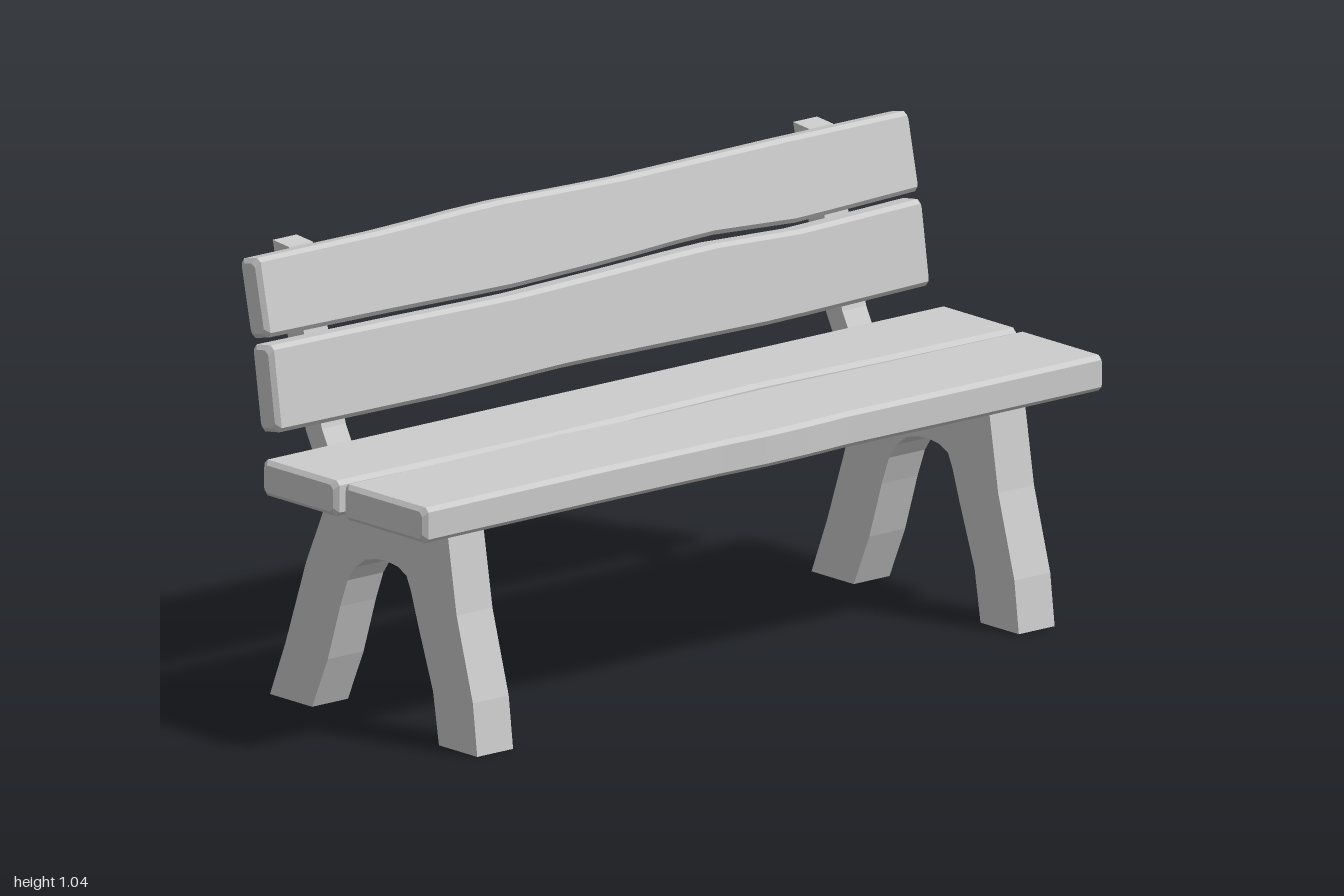
import * as THREE from 'three';

const wood = new THREE.MeshStandardMaterial({ color: 0xcccccc });
wood.name = 'pale grey';

function addMesh(parent, name, geometry) {
  const mesh = new THREE.Mesh(geometry, wood);
  mesh.name = name;
  parent.add(mesh);
  return mesh;
}

// Linear interpolation through [x, value] pairs
function sample(points, x) {
  for (let i = 1; i < points.length; i++) {
    const [x0, a] = points[i - 1], [x1, b] = points[i];
    if (x <= x1) return a + (b - a) * Math.max(0, (x - x0) / (x1 - x0));
  }
  return points[points.length - 1][1];
}

// Chamfered plank along x: y is its width (wavy low and high edges), z its thickness
function plankGeometry(x0, x1, low, high, thickness) {
  const c = 0.01, h = thickness / 2, steps = 16;
  const stations = [[x0, c]];
  for (let i = 0; i <= steps; i++) stations.push([x0 + c + (x1 - x0 - 2 * c) * i / steps, 0]);
  stations.push([x1, c]);
  const rings = stations.map(([x, inset]) => {
    const a = sample(low, x) + inset, b = sample(high, x) - inset, t = h - inset;
    return [[a + c, -t], [b - c, -t], [b, -t + c], [b, t - c],
      [b - c, t], [a + c, t], [a, t - c], [a, -t + c]].map(([y, z]) => [x, y, z]);
  });
  const pos = [];
  const tri = (...pts) => pts.forEach(p => pos.push(...p));
  for (let i = 0; i + 1 < rings.length; i++) {
    for (let j = 0; j < 8; j++) {
      const k = (j + 1) % 8, r = rings[i], s = rings[i + 1];
      tri(r[j], r[k], s[k]);
      tri(r[j], s[k], s[j]);
    }
  }
  const first = rings[0], last = rings[rings.length - 1];
  for (let j = 1; j < 7; j++) {
    tri(first[0], first[j + 1], first[j]);
    tri(last[0], last[j], last[j + 1]);
  }
  const g = new THREE.BufferGeometry();
  g.setAttribute('position', new THREE.Float32BufferAttribute(pos, 3));
  g.computeVertexNormals();
  return g;
}

// Extrudes a [z, y] outline along x, centred on x = 0
function sideProfile(points, width) {
  const shape = new THREE.Shape(points.map(([z, y]) => new THREE.Vector2(-z, y)));
  const g = new THREE.ExtrudeGeometry(shape, { depth: width, bevelEnabled: false });
  g.translate(0, 0, -width / 2);
  g.rotateY(Math.PI / 2);
  return g;
}

export function createModel() {
  const bench = new THREE.Group();
  bench.name = 'bench';

  // Seat planks, laid flat: local y points to the back
  const seatFront = addMesh(bench, 'seatFrontPlank', plankGeometry(-1, 0.993,
    [[-1, -0.372], [-0.5, -0.368], [-0.15, -0.37], [0.05, -0.378], [0.25, -0.366], [0.6, -0.37], [1, -0.37]],
    [[-1, -0.092], [-0.55, -0.088], [-0.38, -0.078], [-0.15, -0.092], [0.25, -0.082], [0.6, -0.09], [1, -0.092]], 0.082));
  const seatBack = addMesh(bench, 'seatBackPlank', plankGeometry(-1, 1,
    [[-1, -0.07], [-0.55, -0.074], [-0.35, -0.078], [-0.1, -0.068], [0.27, -0.054], [0.6, -0.066], [1, -0.072]],
    [[-1, 0.184], [1, 0.184]], 0.082));
  for (const p of [seatFront, seatBack]) {
    p.rotation.x = -Math.PI / 2;
    p.position.y = 0.556;
  }

  // Backrest planks, leaning back
  const upper = addMesh(bench, 'backrestUpperPlank', plankGeometry(-0.957, 0.957,
    [[-0.96, -0.09], [-0.6, -0.095], [-0.25, -0.102], [0.05, -0.096], [0.33, -0.084], [0.6, -0.1], [0.96, -0.09]],
    [[-0.96, 0.089], [-0.55, 0.088], [-0.28, 0.097], [0.1, 0.087], [0.6, 0.091], [0.96, 0.09]], 0.065));
  upper.position.set(0, 0.943, -0.262);
  upper.rotation.x = -0.215;
  const lower = addMesh(bench, 'backrestLowerPlank', plankGeometry(-0.957, 0.957,
    [[-0.96, -0.096], [-0.45, -0.1], [-0.1, -0.094], [0.5, -0.103], [0.96, -0.095]],
    [[-0.96, 0.1], [-0.6, 0.096], [-0.25, 0.09], [0.05, 0.096], [0.33, 0.104], [0.6, 0.092], [0.96, 0.1]], 0.068));
  lower.position.set(0, 0.741, -0.222);
  lower.rotation.x = -0.15;

  // Arched leg frames and bent backrest supports
  const legGeometry = sideProfile([
    [0.37, 0], [0.355, 0.12], [0.3, 0.31], [0.265, 0.517], [-0.125, 0.517], [-0.21, 0.33],
    [-0.28, 0.13], [-0.333, 0], [-0.19, 0], [-0.137, 0.12], [-0.095, 0.25], [-0.07, 0.315],
    [-0.045, 0.35], [-0.01, 0.375], [0.03, 0.385], [0.06, 0.387], [0.1, 0.382], [0.13, 0.367],
    [0.145, 0.335], [0.17, 0.26], [0.22, 0.12], [0.24, 0]], 0.105);
  const supportGeometry = sideProfile([
    [-0.325, 1.02], [-0.38, 1.025], [-0.32, 0.78], [-0.267, 0.61], [-0.178, 0.445],
    [-0.145, 0.5], [-0.213, 0.625], [-0.265, 0.8]], 0.07);
  const boltGeometry = new THREE.CylinderGeometry(0.012, 0.015, 0.024, 6).toNonIndexed();
  boltGeometry.computeVertexNormals();

  for (const [side, s] of [['left', 1], ['right', -1]]) {
    addMesh(bench, side + 'LegFrame', legGeometry).position.x = s * 0.793;
    const supportX = s * 0.762;
    addMesh(bench, side + 'BackSupport', supportGeometry).position.x = supportX;
    // Bolt heads on the rear of the support
    for (const [y, z] of [[0.867, -0.345], [0.685, -0.296]]) {
      const bolt = addMesh(bench, side + 'Bolt', boltGeometry);
      bolt.position.set(supportX, y, z);
      bolt.rotation.x = -Math.PI / 2 - 0.25;
    }
  }
  return bench;
}
